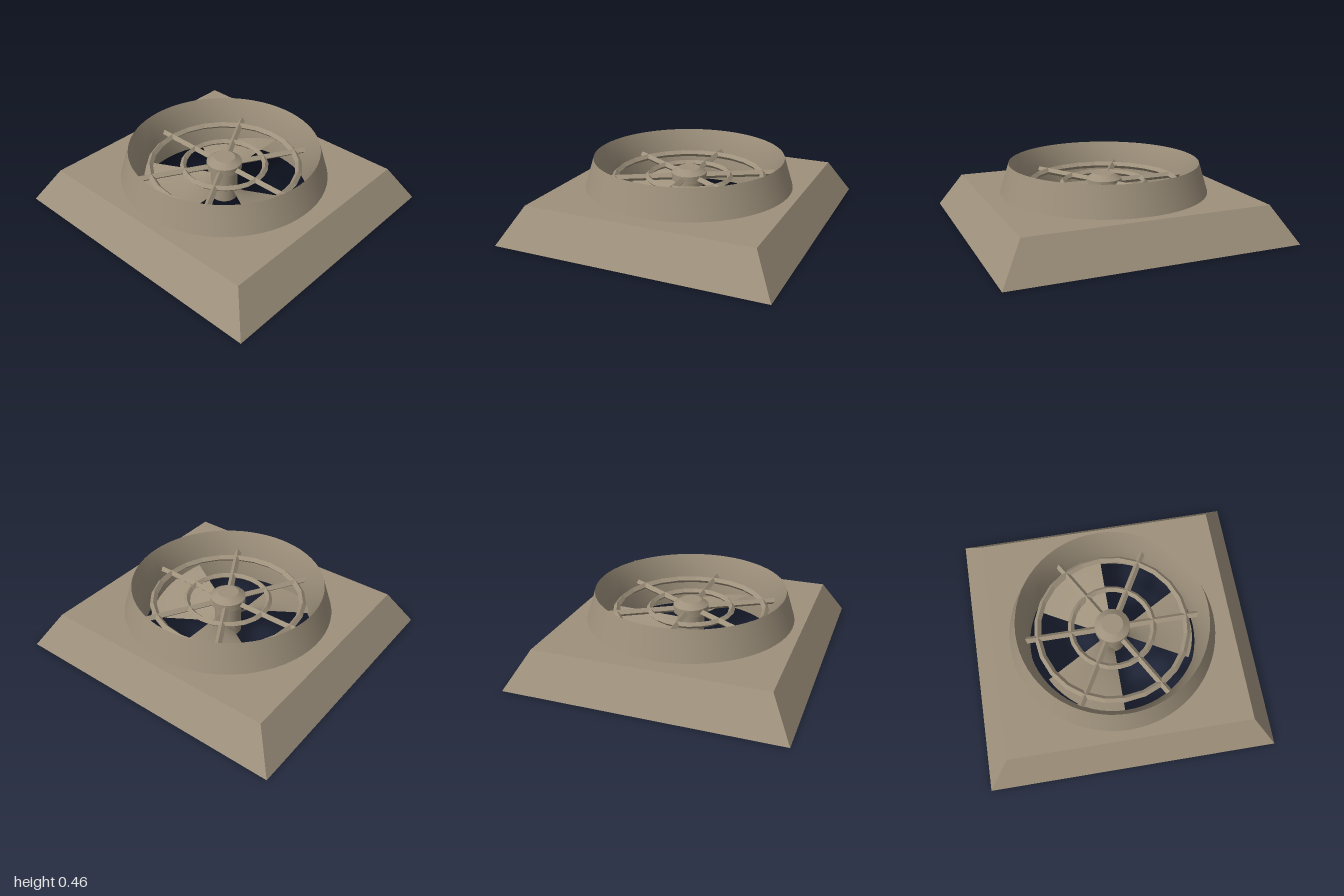
import * as THREE from 'three';
import { ParametricGeometry } from 'three/addons/geometries/ParametricGeometry.js';
import { toCreasedNormals } from 'three/addons/utils/BufferGeometryUtils.js';

const COLOR = 0x9e917c;
const smooth = new THREE.MeshStandardMaterial({ color: COLOR, side: THREE.DoubleSide });
const flat = new THREE.MeshStandardMaterial({ color: COLOR, side: THREE.DoubleSide, flatShading: true });

function add(parent, name, geometry, material = smooth) {
  const mesh = new THREE.Mesh(geometry, material);
  mesh.name = name;
  parent.add(mesh);
  return mesh;
}

// Revolved profile of [radius, height] points, with sharp corners kept
function turned(points, segments = 48) {
  const profile = points.map(([r, y]) => new THREE.Vector2(r, y));
  return toCreasedNormals(new THREE.LatheGeometry(profile, segments), 0.45);
}

export function createModel() {
  const group = new THREE.Group();
  const baseHeight = 0.25, collarRadius = 0.728, halfDepth = 0.94, taper = 0.845;

  // Sloping skirt, open underneath
  const skirt = new THREE.CylinderGeometry(Math.SQRT2 * taper, Math.SQRT2, baseHeight, 4, 1, true);
  skirt.rotateY(Math.PI / 4).scale(1, 1, halfDepth).translate(0, baseHeight / 2, 0);
  add(group, 'baseSkirt', skirt, flat);

  // Top plate with a round opening
  const hx = taper, hz = taper * halfDepth;
  const plate = new THREE.Shape([
    new THREE.Vector2(-hx, -hz), new THREE.Vector2(hx, -hz),
    new THREE.Vector2(hx, hz), new THREE.Vector2(-hx, hz),
  ]);
  plate.holes.push(new THREE.Path().absarc(0, 0, collarRadius, 0, Math.PI * 2, true));
  const plateGeometry = new THREE.ShapeGeometry(plate, 32);
  plateGeometry.rotateX(-Math.PI / 2).translate(0, baseHeight, 0);
  add(group, 'topPlate', plateGeometry, flat);

  // Conical collar and the duct that drops inside it
  add(group, 'collar', turned([[collarRadius, baseHeight], [0.665, 0.455]], 64));
  add(group, 'duct', turned([[0.6, 0.07], [0.6, 0.29], [0.665, 0.455]], 64));

  // Guard: two rings and six spokes of diamond section
  const guard = new THREE.Group();
  guard.name = 'guard';
  guard.position.y = 0.3;
  group.add(guard);
  for (const [name, radius, tube] of [['innerRing', 0.29, 0.022], ['outerRing', 0.525, 0.024]]) {
    const ring = new THREE.TorusGeometry(radius, tube, 4, 24);
    add(guard, name, ring.rotateX(Math.PI / 2), flat);
  }
  for (let i = 0; i < 6; i++) {
    const spoke = new THREE.CylinderGeometry(0.024, 0.024, 0.535, 4);
    spoke.rotateZ(Math.PI / 2).translate(0.35, 0, 0);
    add(guard, 'spoke', spoke, flat).rotation.y = i * Math.PI / 3;
  }

  // Hub cap and hollow-ended shaft
  add(group, 'hubCap', turned([[0, 0.28], [0.125, 0.28], [0.125, 0.33], [0.075, 0.365], [0, 0.365]], 24));
  add(group, 'shaft', turned([[0, 0.12], [0.055, 0.12], [0.055, 0.04], [0.095, 0.04], [0.095, 0.3]], 24));

  // Three twisted blades, each a sixty-degree sector
  const blade = new ParametricGeometry((u, v, target) => {
    const radius = THREE.MathUtils.lerp(0.085, 0.57, u);
    const angle = (v - 0.5) * Math.PI / 3;
    const lift = THREE.MathUtils.lerp(0.06, 0.075, u);
    target.set(radius * Math.cos(angle), 0.155 - (v - 0.5) * 2 * lift, -radius * Math.sin(angle));
  }, 8, 12);
  for (let i = 0; i < 3; i++) {
    add(group, 'fanBlade', blade).rotation.y = i * Math.PI * 2 / 3;
  }
  return group;
}
